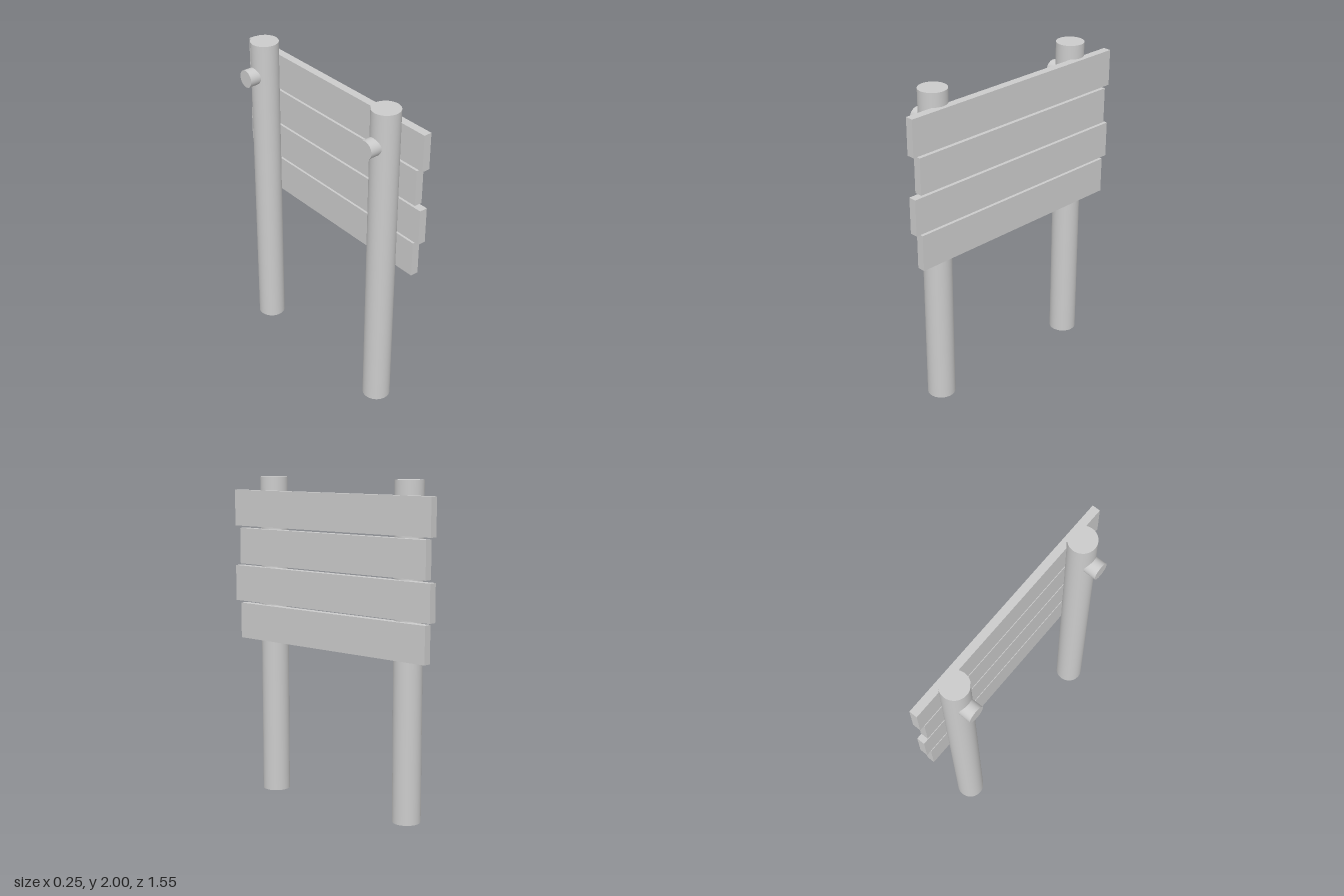
import * as THREE from 'three';

export function createModel() {
  const group = new THREE.Group();
  const material = new THREE.MeshStandardMaterial({ color: 0xcccccc });
  const add = (name, geometry, x, y, z) => {
    const mesh = new THREE.Mesh(geometry, material);
    mesh.name = name;
    mesh.position.set(x, y, z);
    group.add(mesh);
  };

  // Two round posts, each with a short peg on the rear side
  const postX = 0.013, postRadius = 0.085;
  const postGeometry = new THREE.CylinderGeometry(postRadius, postRadius, 2, 48);
  const pegGeometry = new THREE.CylinderGeometry(0.054, 0.054, 0.13, 32).rotateZ(Math.PI / 2);
  for (const [side, z] of [['left', -0.536], ['right', 0.536]]) {
    add(side + 'Post', postGeometry, postX, 1, z);
    add(side + 'Peg', pegGeometry, -0.064, 1.793, z - 0.004);
  }

  // Four planks, alternately long and short, from top to bottom
  for (let i = 0; i < 4; i++) {
    const short = i % 2 === 1;
    const plank = new THREE.BoxGeometry(0.05, 0.224, short ? 1.47 : 1.546);
    add('plank' + (i + 1), plank, 0.098, 1.803 - i * 0.2377, short ? -0.005 : 0);
  }
  return group;
}
